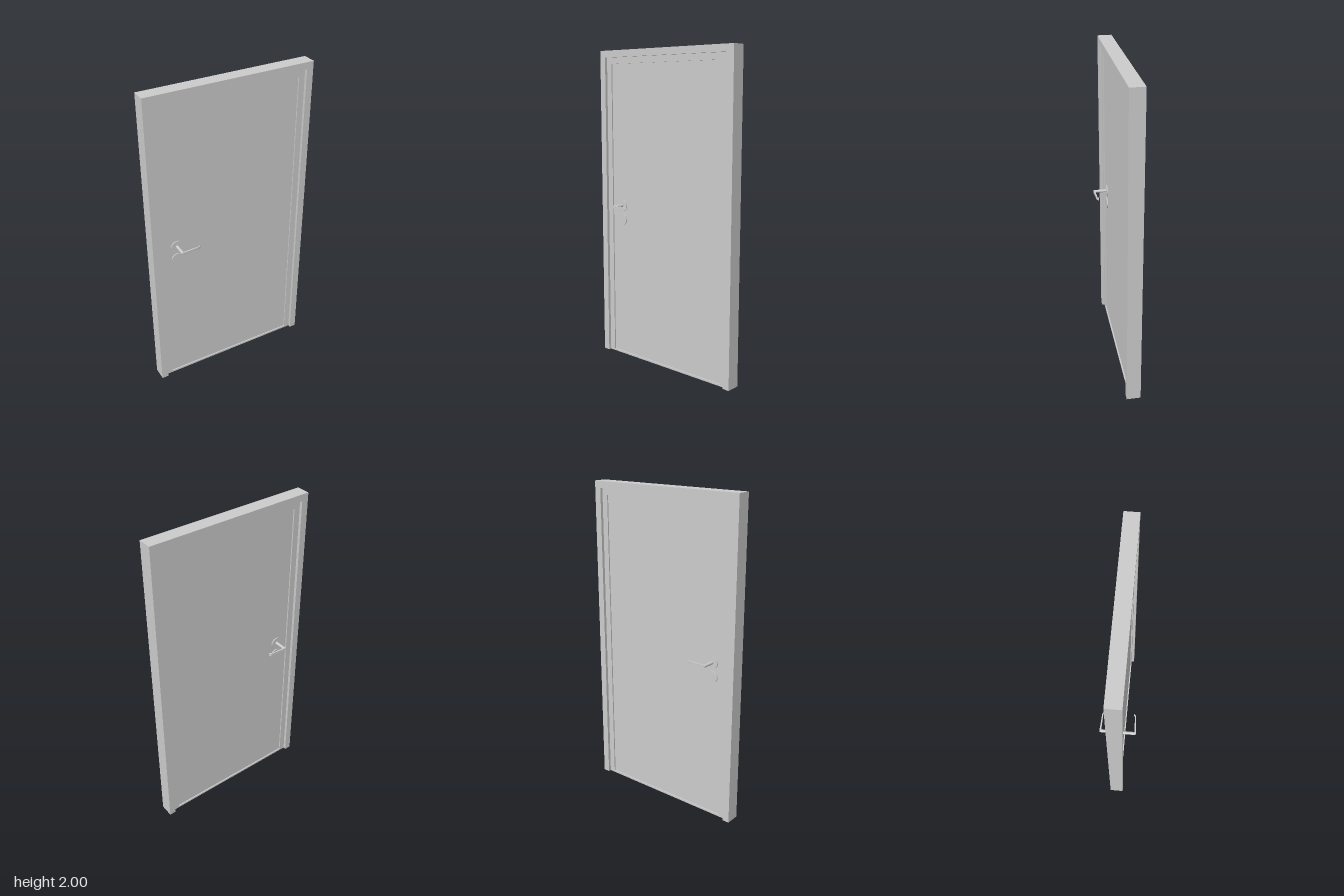
import * as THREE from 'three';

const material = new THREE.MeshStandardMaterial({ color: 0xcccccc });

function add(parent, name, geometry, x = 0, y = 0, z = 0) {
  const mesh = new THREE.Mesh(geometry, material);
  mesh.name = name;
  mesh.position.set(x, y, z);
  parent.add(mesh);
  return mesh;
}

// Extrudes an outline so that it is centred on z = 0
function extrude(points, depth) {
  const shape = new THREE.Shape(points.map(([x, y]) => new THREE.Vector2(x, y)));
  return new THREE.ExtrudeGeometry(shape, { depth, bevelEnabled: false }).translate(0, 0, -depth / 2);
}

// Two jambs joined by a head, open at the floor
function portal(outX, outY, inX, inY, depth) {
  return extrude([
    [-outX, 0], [-inX, 0], [-inX, inY], [inX, inY],
    [inX, 0], [outX, 0], [outX, outY], [-outX, outY],
  ], depth);
}

// Handle, rosette and lock cover for one side, facing +z
function createHandleSet(side) {
  const set = new THREE.Group();
  set.name = side + 'HandleSet';

  const disc = new THREE.CylinderGeometry(0.037, 0.037, 0.008, 40).rotateX(Math.PI / 2);
  add(set, 'handleRosette', disc, 0, 0, 0.02);
  add(set, 'lockCover', disc, 0, -0.09, 0.02);

  const stem = new THREE.CylinderGeometry(0.0095, 0.0095, 0.09, 24).rotateX(Math.PI / 2);
  add(set, 'handleStem', stem, 0, 0, 0.064);

  // Lever outline seen from above: x along the lever, second value is depth
  const lever = extrude([
    [0, 0.1], [0.1, 0.0965], [0.106, 0.095], [0.115, 0.088],
    [0.12, 0.091], [0.112, 0.1], [0.104, 0.103], [0, 0.11],
  ], 0.016).rotateX(Math.PI / 2);
  add(set, 'handleLever', lever);
  return set;
}

export function createModel() {
  const door = new THREE.Group();
  door.name = 'door';

  // Stepped frame
  add(door, 'outerFrame', portal(0.53, 2, 0.487, 1.957, 0.088));
  add(door, 'innerFrame', portal(0.487, 1.957, 0.448, 1.917, 0.052));
  add(door, 'threshold', new THREE.BoxGeometry(0.896, 0.012, 0.052), 0, 0.006, 0);

  // Door leaf
  add(door, 'doorLeaf', new THREE.BoxGeometry(0.896, 1.905, 0.036), 0, 0.9645, 0);

  // Handles on both faces
  const front = createHandleSet('front');
  front.position.set(-0.365, 1.011, 0);
  const back = createHandleSet('back');
  back.position.copy(front.position);
  back.scale.z = -1;
  door.add(front, back);

  return door;
}
